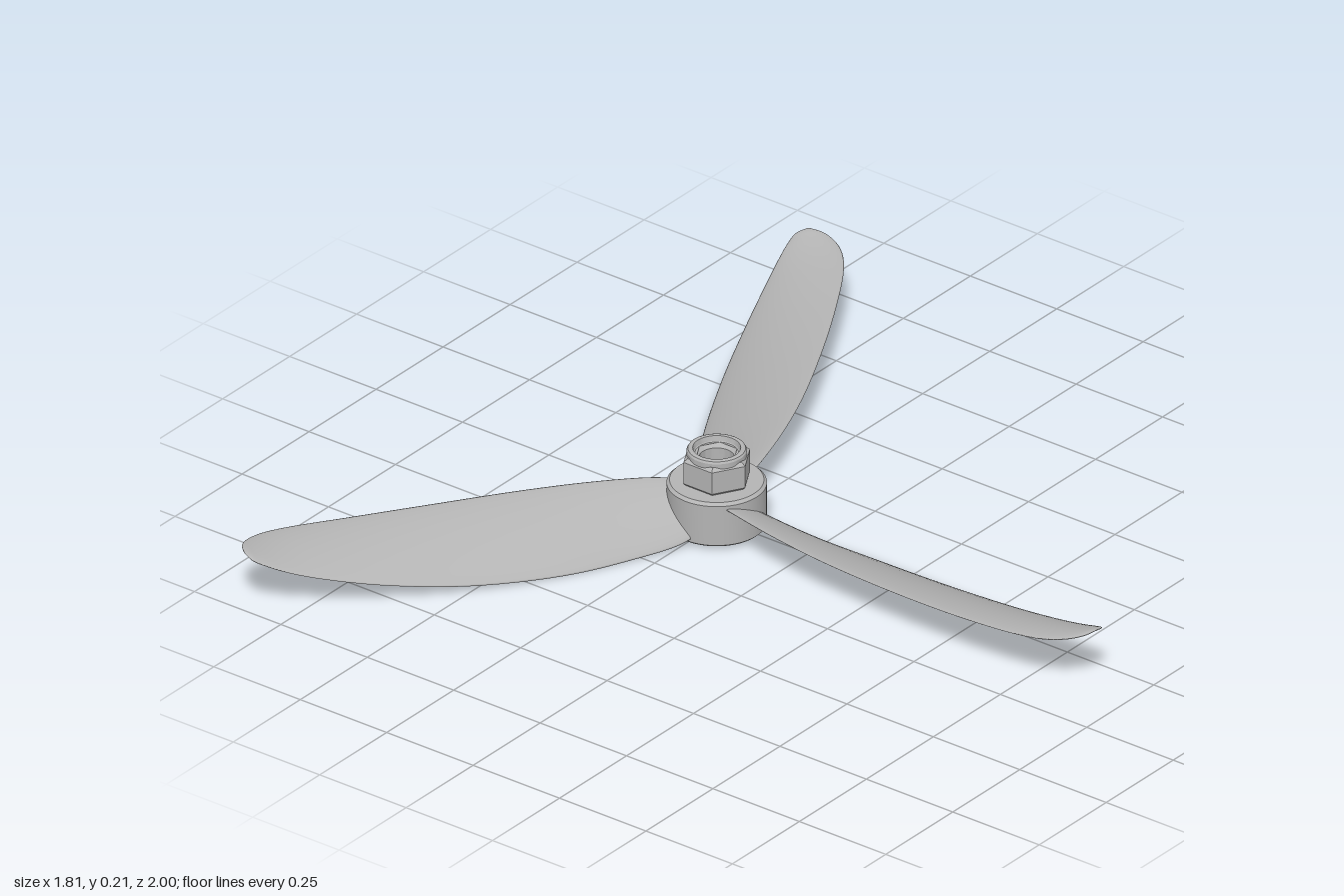
import * as THREE from 'three';
import { toCreasedNormals } from 'three/addons/utils/BufferGeometryUtils.js';

const metal = new THREE.MeshStandardMaterial({ color: 0xb4b4b4 });
metal.name = 'grey metal';

// Blade stations: distance from hub axis, then z and y of the low and high edges
const stations = [
  [0.06, -0.06, 0.035, 0.065, 0.105],
  [0.115, -0.073, 0.018, 0.085, 0.111],
  [0.245, -0.08, 0.006, 0.115, 0.113],
  [0.415, -0.088, 0.005, 0.14, 0.113],
  [0.645, -0.076, 0.021, 0.156, 0.115],
  [0.845, -0.049, 0.052, 0.161, 0.121],
  [0.995, -0.02, 0.087, 0.157, 0.13],
  [1.065, -0.003, 0.109, 0.144, 0.136],
  [1.11, 0.012, 0.127, 0.12, 0.142],
  [1.135, 0.026, 0.139, 0.091, 0.147],
  [1.145, 0.048, 0.148, 0.06, 0.15],
];

// Thin cambered blade lofted from lens-shaped sections
function bladeGeometry(rows = 60, ring = 28) {
  const low = new THREE.CatmullRomCurve3(stations.map(s => new THREE.Vector3(s[0], s[2], s[1])));
  const high = new THREE.CatmullRomCurve3(stations.map(s => new THREE.Vector3(s[0], s[4], s[3])));
  const pos = [], index = [];
  for (let i = 0; i <= rows; i++) {
    const a = low.getPoint(i / rows), b = high.getPoint(i / rows);
    const chord = b.clone().sub(a), width = chord.length();
    const normal = new THREE.Vector3(0, chord.z, -chord.y).normalize();
    const half = Math.min(0.009 - 0.005 * i / rows, width * 0.06);
    for (let j = 0; j < ring; j++) {
      const t = j / ring * Math.PI * 2;
      const s = 0.5 - 0.5 * Math.cos(t);
      const lift = half * Math.sin(t) + width * 0.2 * s * (1 - s);
      const p = a.clone().addScaledVector(chord, s).addScaledVector(normal, lift);
      pos.push(p.x, p.y, p.z);
    }
  }
  for (let i = 0; i < rows; i++) {
    for (let j = 0; j < ring; j++) {
      const k = (j + 1) % ring;
      const p = i * ring + j, q = i * ring + k, r = p + ring, s = q + ring;
      index.push(p, q, r, q, s, r);
    }
  }
  // Close the tip
  const end = rows * ring;
  for (let j = 1; j < ring - 1; j++) index.push(end, end + j, end + j + 1);
  const g = new THREE.BufferGeometry();
  g.setAttribute('position', new THREE.Float32BufferAttribute(pos, 3));
  g.setIndex(index);
  g.computeVertexNormals();
  return g;
}

// Turned part with crisp edges; profile runs up the outside and down the bore
function turned(name, profile, sides, start = 0) {
  const pts = profile.map(p => new THREE.Vector2(p[0], p[1]));
  const g = toCreasedNormals(new THREE.LatheGeometry(pts, sides, start), 0.5);
  const mesh = new THREE.Mesh(g, metal);
  mesh.name = name;
  return mesh;
}

export function createModel() {
  const model = new THREE.Group();
  model.name = 'propeller';
  const rotor = new THREE.Group();
  rotor.name = 'rotor';
  rotor.position.set(-0.245, 0, 0.025);
  model.add(rotor);

  // Bored hub with chamfered rims
  rotor.add(turned('hub', [
    [0.055, 0.012], [0.111, 0.012], [0.115, 0.016], [0.115, 0.118], [0.108, 0.125],
    [0.04, 0.125], [0.04, 0.027], [0.055, 0.012],
  ], 64));

  // Six-sided nut with its round locking collar
  rotor.add(turned('nut', [
    [0.04, 0.125], [0.076, 0.125], [0.082, 0.131], [0.082, 0.187], [0.072, 0.195], [0.05, 0.195],
  ], 6, Math.PI / 6));
  rotor.add(turned('nutCollar', [
    [0.069, 0.19], [0.069, 0.203], [0.066, 0.208], [0.061, 0.21], [0.055, 0.209],
    [0.052, 0.197], [0.04, 0.185], [0.04, 0.125],
  ], 48));

  // Three equal blades
  const geometry = bladeGeometry();
  for (let i = 0; i < 3; i++) {
    const blade = new THREE.Mesh(geometry, metal);
    blade.name = 'blade' + (i + 1);
    blade.rotation.y = i * Math.PI * 2 / 3;
    rotor.add(blade);
  }
  return model;
}
